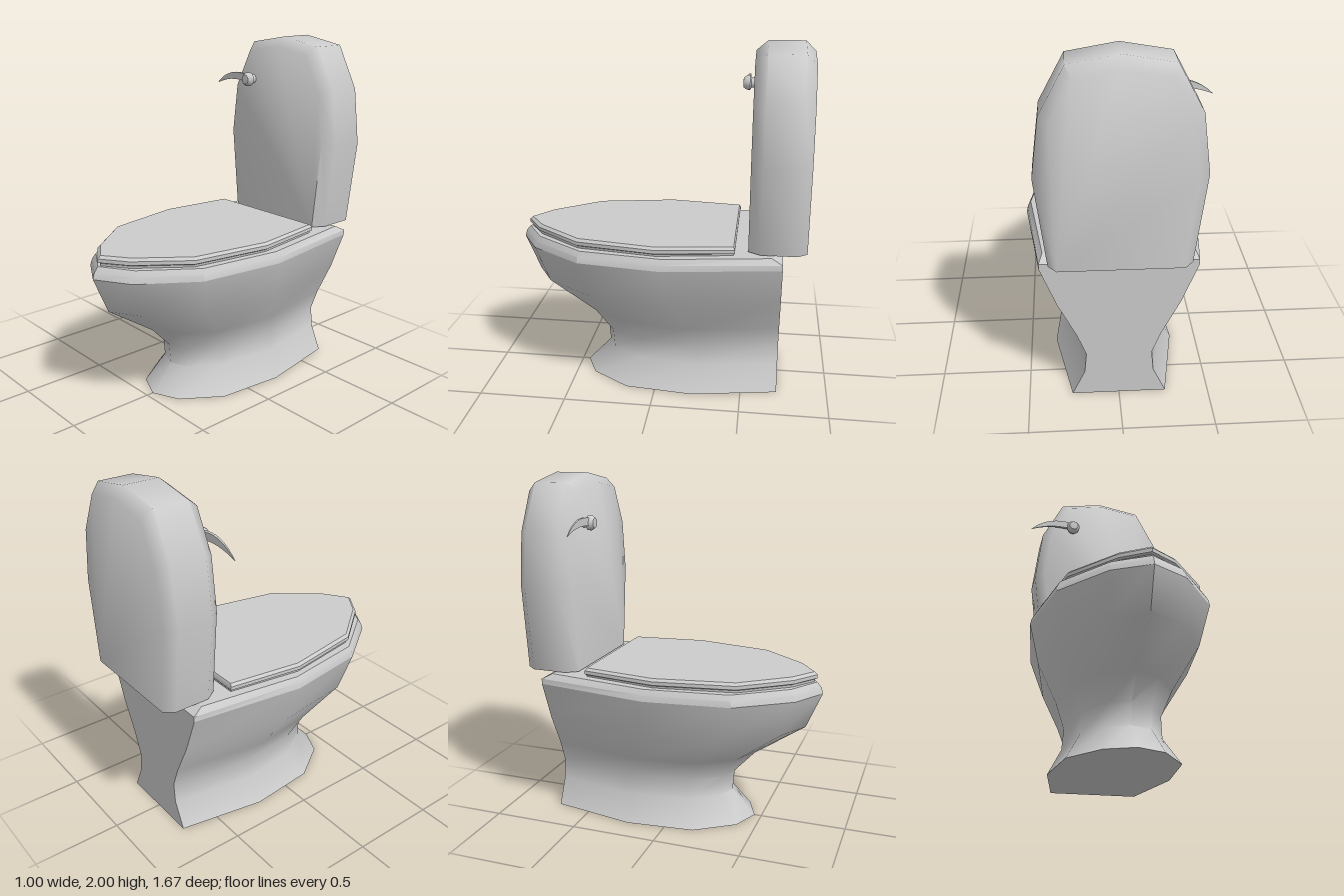
import * as THREE from 'three';
import { toCreasedNormals } from 'three/addons/utils/BufferGeometryUtils.js';

const material = new THREE.MeshStandardMaterial({ color: 0xcccccc });

// Mirror half an outline (right side, ending on the centre line) to a full loop
function mirrored(half) {
  const other = half.slice(0, -1).reverse().map(([x, y, z]) => [-x, y, z]);
  return [...half, ...other];
}

// Skin a stack of equal loops and close both ends
function loft(halves, crease) {
  const loops = halves.map(mirrored);
  const n = loops[0].length;
  const index = [];
  for (let r = 0; r < loops.length - 1; r++) {
    for (let i = 0; i < n; i++) {
      const a = r * n + i, b = r * n + (i + 1) % n;
      index.push(a, a + n, b, b, a + n, b + n);
    }
  }
  const last = (loops.length - 1) * n;
  for (let k = 1; k < n - 1; k++) {
    index.push(0, k, k + 1, last, last + k + 1, last + k);
  }
  const geometry = new THREE.BufferGeometry();
  geometry.setAttribute('position', new THREE.Float32BufferAttribute(loops.flat(2), 3));
  geometry.setIndex(index);
  return toCreasedNormals(geometry, crease);
}

function part(name, geometry, parent) {
  const mesh = new THREE.Mesh(geometry, material);
  mesh.name = name;
  parent.add(mesh);
  return mesh;
}

// Horizontal section: [x, z] points from back corner to front tip, height sloping front to back
const level = (yBack, yFront, points) =>
  points.map(([x, z]) => [x, yBack + (yFront - yBack) * (z + 0.71) / 1.54, z]);

export function createModel() {
  const model = new THREE.Group();
  model.name = 'toilet';

  // Pedestal flowing up into the bowl
  const rim = [[0.42, -0.71], [0.5, -0.06], [0.42, 0.42], [0.2, 0.72], [0, 0.835]];
  part('bowl', loft([
    level(0, 0, [[0.26, -0.71], [0.35, -0.22], [0.31, 0.17], [0.16, 0.39], [0, 0.46]]),
    level(0.15, 0.15, [[0.19, -0.71], [0.27, -0.25], [0.225, 0.1], [0.12, 0.27], [0, 0.32]]),
    level(0.27, 0.27, [[0.18, -0.71], [0.26, -0.25], [0.22, 0.1], [0.12, 0.28], [0, 0.33]]),
    level(0.4, 0.4, [[0.23, -0.71], [0.32, -0.18], [0.265, 0.18], [0.135, 0.38], [0, 0.45]]),
    level(0.6, 0.6, [[0.33, -0.71], [0.44, -0.1], [0.37, 0.36], [0.18, 0.64], [0, 0.745]]),
    level(0.83, 0.81, rim),
  ], 0.95), model);

  // Bevelled rim
  part('rim', loft([
    level(0.83, 0.81, rim),
    level(0.86, 0.845, [[0.42, -0.71], [0.493, -0.06], [0.415, 0.415], [0.195, 0.71], [0, 0.825]]),
    level(0.892, 0.875, [[0.4, -0.65], [0.475, -0.06], [0.4, 0.405], [0.185, 0.69], [0, 0.8]]),
  ], 0.45), model);

  // Closed lid with a softened upper edge
  const lid = (y0, y1, s) => level(y0, y1, [
    [0.39 - s, -0.45 + s * 0.5], [0.447 - s, -0.02], [0.365 - s, 0.43 - s * 0.3],
    [0.15 - s * 0.5, 0.70 - s], [0, 0.8 - s * 1.2],
  ]);
  part('lid', loft([
    lid(0.88, 0.868, 0.015), lid(0.9, 0.89, 0.012), lid(0.907, 0.897, 0),
    lid(0.927, 0.918, 0), lid(0.94, 0.934, 0.015),
  ], 0.6), model);

  // Tank: bevelled slab with a faceted arched outline and a flat underside
  const outer = [[0.37, 0.895], [0.43, 1.39], [0.39, 1.71], [0.26, 1.955], [0, 2]];
  const inner = [[0.325, 0.895], [0.375, 1.39], [0.34, 1.685], [0.23, 1.905], [0, 1.945]];
  const at = (points, z) => points.map(([x, y]) => [x, y, z]);
  part('tank', loft([
    at(inner, -0.52), at(outer, -0.585), at(outer, -0.785), at(inner, -0.84),
  ], 0.95), model);

  // Flush handle: stem, round knob and curved tapering lever
  const handle = new THREE.Group();
  handle.name = 'flushHandle';
  handle.position.set(-0.2, 1.735, -0.53);
  model.add(handle);

  const profile = [[0, 0], [0.028, 0], [0.028, 0.035], [0.042, 0.042], [0.042, 0.06], [0.028, 0.08], [0, 0.083]];
  const knob = new THREE.LatheGeometry(profile.map(([r, h]) => new THREE.Vector2(r, h)), 16);
  knob.rotateX(Math.PI / 2);
  part('knob', toCreasedNormals(knob, 0.75), handle);

  const shape = new THREE.Shape();
  shape.moveTo(0, 0.025);
  shape.bezierCurveTo(-0.11, 0.05, -0.2, 0.035, -0.28, -0.045);
  shape.bezierCurveTo(-0.2, -0.012, -0.11, 0.005, 0, -0.02);
  const lever = new THREE.ExtrudeGeometry(shape, { depth: 1, bevelEnabled: false, curveSegments: 8 });
  // Thin the lever towards its tip
  const p = lever.attributes.position;
  for (let i = 0; i < p.count; i++) {
    const thickness = 0.022 + 0.058 * p.getX(i) * 1.1;
    p.setZ(i, 0.048 + (p.getZ(i) - 0.5) * thickness);
  }
  lever.computeVertexNormals();
  part('lever', toCreasedNormals(lever, 0.6), handle);

  return model;
}
